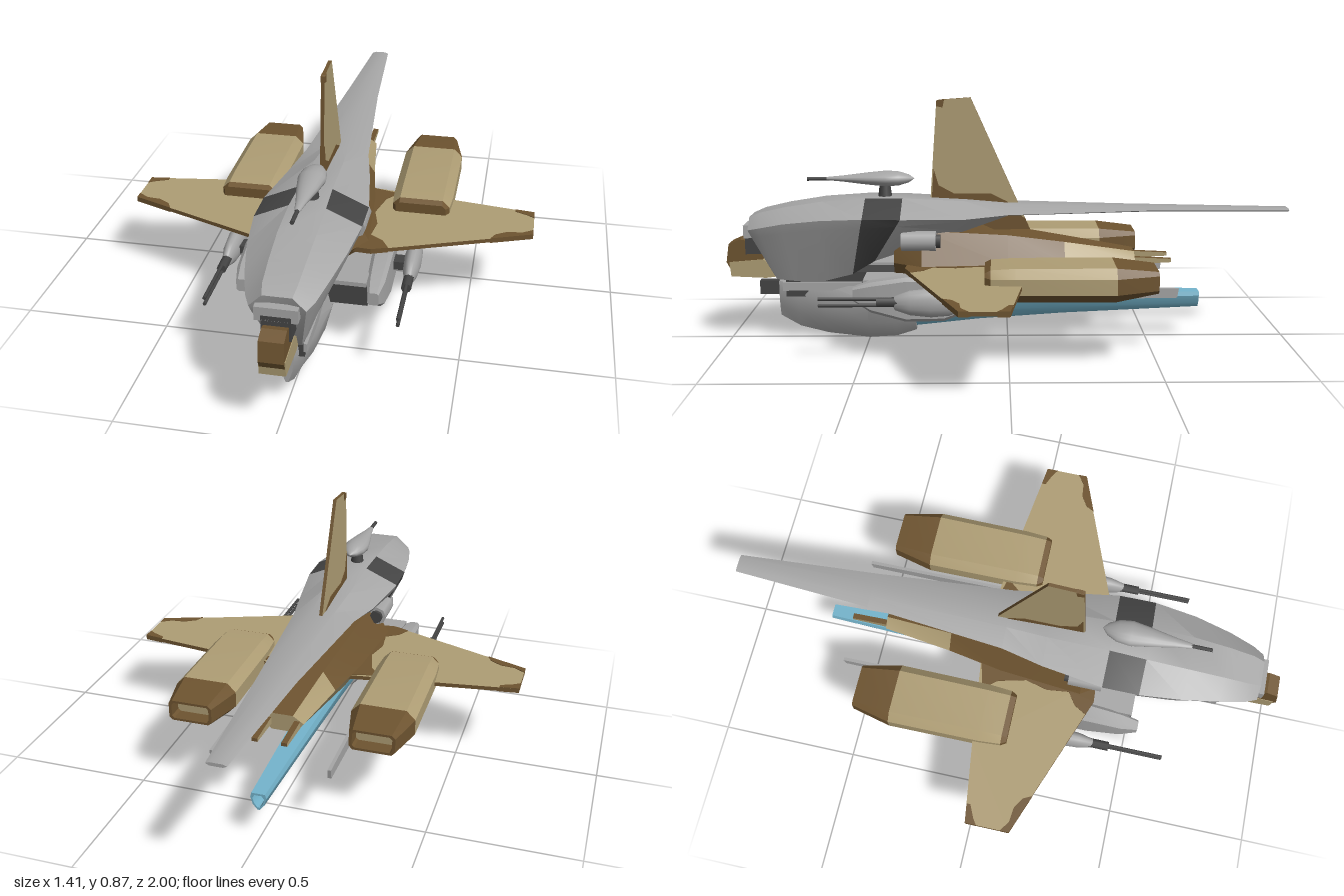
import * as THREE from 'three';
import { toCreasedNormals } from 'three/addons/utils/BufferGeometryUtils.js';

const mat = (name, color) => Object.assign(new THREE.MeshStandardMaterial({ color }), { name });

export function createModel() {
  const root = new THREE.Group();
  root.name = 'gunship';
  const gray = mat('hull gray', 0xa6a6a6), tan = mat('sand', 0xae9d74), brown = mat('camouflage brown', 0x6e5430);
  const dark = mat('dark metal', 0x444444), blue = mat('boom blue', 0x74b4cc);

  const add = (name, geo, material, x = 0, y = 0, z = 0) => {
    const m = new THREE.Mesh(geo, material);
    m.name = name;
    m.position.set(x, y, z);
    root.add(m);
    return m;
  };
  const box = (name, material, w, h, d, x, y, z) => add(name, new THREE.BoxGeometry(w, h, d), material, x, y, z);

  // Skin over mirrored half sections, front to back: [z, [x, y, dz], ...] from top to bottom.
  // pick(segment, column) chooses the material; segments -1 and n are the end caps.
  function loft(name, sections, mats, x = 0, pick = () => 0, crease = 0.45) {
    const rings = sections.map(([z, ...half]) => {
      const right = half.map(([px, py, dz = 0]) => [px, py, z + dz]);
      return [...right, ...right.map(([px, py, pz]) => [-px, py, pz]).reverse()];
    });
    const n = rings[0].length, last = rings.length - 1;
    const buckets = mats.map(() => []);
    const mid = (r) => [0, 1, 2].map((k) => r.reduce((s, p) => s + p[k], 0) / n);
    const front = mid(rings[0]), back = mid(rings[last]);
    for (let j = 0; j < n; j++) {
      const k = (j + 1) % n;
      for (let i = 0; i < last; i++) {
        const a = rings[i][j], b = rings[i][k], c = rings[i + 1][k], d = rings[i + 1][j];
        buckets[pick(i, j)].push(...a, ...b, ...c, ...a, ...c, ...d);
      }
      buckets[pick(-1, j)].push(...front, ...rings[0][k], ...rings[0][j]);
      buckets[pick(last, j)].push(...back, ...rings[last][j], ...rings[last][k]);
    }
    let geo = new THREE.BufferGeometry();
    geo.setAttribute('position', new THREE.Float32BufferAttribute(buckets.flat(), 3));
    geo = toCreasedNormals(geo, crease);
    let start = 0;
    buckets.forEach((b, i) => { geo.addGroup(start, b.length / 3, i); start += b.length / 3; });
    return add(name, geo, mats, x);
  }

  const extrude = (pts, depth) => new THREE.ExtrudeGeometry(
    new THREE.Shape(pts.map((p) => new THREE.Vector2(...p))), { depth, bevelEnabled: false }).translate(0, 0, -depth / 2);
  // Side profile in [z, y], given a width across x
  const profile = (name, pts, width, material, x = 0) => add(name, extrude(pts, width).rotateY(-Math.PI / 2), material, x);
  // Flat plan in [x, z], given a thickness in y
  const plan = (name, pts, thick, material, y) => add(name, extrude(pts, thick).rotateX(Math.PI / 2), material, 0, y);
  const rod = (name, r, z0, z1, x, y, material) =>
    add(name, new THREE.CylinderGeometry(r, r, z1 - z0, 8).rotateX(Math.PI / 2), material, x, y, (z0 + z1) / 2);
  // Flattened teardrop: points are [radius, z]
  const drop = (name, pts, sx, sy, material, x, y) => add(name,
    new THREE.LatheGeometry(pts.map((p) => new THREE.Vector2(...p)), 16).rotateX(Math.PI / 2).scale(sx, sy, 1), material, x, y, 0);

  // Upper hull running into the long tail: z, top half/y, shoulder half/y, bottom half/y, bottom shift
  const hull = [
    [0.91, 0.045, 0.455, 0.085, 0.415, 0.04, 0.24, -0.08],
    [0.87, 0.052, 0.472, 0.105, 0.425, 0.05, 0.23, -0.05],
    [0.78, 0.056, 0.492, 0.13, 0.445, 0.055, 0.225, -0.02],
    [0.65, 0.06, 0.512, 0.157, 0.462, 0.06, 0.225, 0],
    [0.5, 0.06, 0.522, 0.175, 0.47, 0.06, 0.25, 0.05],
    [0.37, 0.055, 0.522, 0.175, 0.468, 0.07, 0.3, 0.1],
    [0.15, 0.05, 0.51, 0.142, 0.462, 0.08, 0.41, 0],
    [0, 0.04, 0.497, 0.112, 0.472, 0.06, 0.46, 0],
    [-0.5, 0.025, 0.485, 0.066, 0.478, 0.04, 0.47, 0],
    [-1, 0.02, 0.476, 0.033, 0.471, 0.02, 0.465, 0],
  ].map(([z, a, ay, b, by, c, cy, dz]) => [z, [a, ay], [b, by], [b * 0.94, by - (by - cy) * 0.15, dz * 0.15], [c, cy, dz]]);
  loft('upperHull', hull, [gray, dark], 0, (i, j) => (i === 4 && j !== 7 ? 1 : 0));

  // Nose sensor block under the brow
  profile('noseBlock', [[0.86, 0.24], [0.98, 0.25], [1, 0.29], [0.99, 0.355], [0.95, 0.372], [0.88, 0.36]], 0.076, [brown, brown]);
  profile('noseChin', [[0.8, 0.24], [0.86, 0.232], [0.985, 0.238], [0.99, 0.29], [0.87, 0.3]], 0.08, tan);
  box('noseBrow', gray, 0.13, 0.045, 0.06, 0, 0.405, 0.9);
  box('noseMount', dark, 0.09, 0.08, 0.1, 0, 0.36, 0.88);
  box('bellyMachinery', dark, 0.1, 0.09, 0.46, 0, 0.21, 0.56);
  box('chinGun', dark, 0.03, 0.05, 0.09, 0, 0.19, 0.845);

  // Boat shaped keel
  const keelSection = (z, w, top, bottom) => {
    const h = top - bottom;
    return [z, [w * 0.85, top], [w, top - h * 0.25], [w * 0.72, bottom + h * 0.32], [w * 0.15, bottom]];
  };
  loft('keel', [
    keelSection(0.82, 0.025, 0.215, 0.085), keelSection(0.75, 0.045, 0.215, 0.045), keelSection(0.65, 0.065, 0.21, 0.02),
    keelSection(0.5, 0.077, 0.205, 0.002), keelSection(0.4, 0.076, 0.205, 0.008), keelSection(0.33, 0.07, 0.205, 0.03),
  ], [gray]);

  // Blue lower boom
  loft('lowerBoom', [
    keelSection(0.34, 0.063, 0.2, 0.045), keelSection(0.1, 0.055, 0.188, 0.07),
    keelSection(-0.2, 0.044, 0.18, 0.09), keelSection(-0.69, 0.027, 0.172, 0.112), keelSection(-0.69, 0.02, 0.165, 0.12),
    keelSection(-0.64, 0.018, 0.165, 0.12),
  ], [blue]);

  // Camouflaged mid fuselage, brown above and sand below
  loft('midFuselage', [
    [0.4, [0.07, 0.38], [0.1, 0.3], [0.06, 0.22]],
    [0.3, [0.1, 0.415], [0.165, 0.3], [0.08, 0.2]],
    [0, [0.085, 0.395], [0.14, 0.3], [0.08, 0.21]],
    [-0.2, [0.06, 0.365], [0.105, 0.3], [0.06, 0.23]],
    [-0.45, [0.035, 0.325], [0.072, 0.3], [0.04, 0.265]],
  ], [brown, tan], 0, (i, j) => (i === 4 || (j > 0 && j < 4 && i > 1) || (i === 3 && j !== 5) ? 1 : 0));

  // Tail fin with painted patches
  profile('tailFin', [[0.275, 0.5], [0.25, 0.85], [0.24, 0.862], [0.13, 0.87], [-0.08, 0.4], [0.05, 0.4]], 0.012, [tan, brown]);
  profile('finTopPatch', [[0.251, 0.84], [0.249, 0.86], [0.222, 0.864], [0.228, 0.835]], 0.015, brown);
  profile('finRootPatch', [[0.27, 0.5], [0.262, 0.62], [0.245, 0.56], [0.19, 0.53], [0.06, 0.53], [0, 0.5], [-0.03, 0.46],
    [-0.062, 0.44], [-0.08, 0.4], [0.05, 0.4]], 0.015, brown);

  // Dorsal gun: neck, teardrop body and barrel
  add('dorsalGunNeck', new THREE.CylinderGeometry(0.018, 0.026, 0.06, 10), dark, 0, 0.54, 0.435);
  drop('dorsalGunBody', [[0, 0.33], [0.5, 0.35], [0.88, 0.385], [1, 0.43], [0.75, 0.5], [0.4, 0.58], [0.2, 0.64], [0, 0.64]],
    0.046, 0.028, gray, 0, 0.584);
  rod('dorsalGunBarrel', 0.007, 0.62, 0.71, 0, 0.583, dark);

  for (const s of [1, -1]) {
    const side = s > 0 ? 'left' : 'right';
    const flip = (pts) => pts.map(([x, z]) => [s * x, z]);

    // Wing with brown edges and patches
    plan(side + 'Wing', flip([[0.1, 0.35], [0.18, 0.355], [0.707, 0.155], [0.707, 0], [0.42, -0.04], [0.1, -0.08]]), 0.014, [tan, brown], 0.292);
    plan(side + 'WingRootPatch', flip([[0.1, 0.35], [0.18, 0.355], [0.235, 0.334], [0.21, 0.29], [0.165, 0.26], [0.175, 0.18],
      [0.155, 0.1], [0.18, 0.0], [0.22, -0.05], [0.1, -0.08]]), 0.018, brown, 0.292);
    plan(side + 'WingTipPatch', flip([[0.565, 0.21], [0.707, 0.156], [0.707, 0.125], [0.67, 0.15], [0.62, 0.155], [0.58, 0.18]]), 0.018, brown, 0.292);
    plan(side + 'WingTrailingPatch', flip([[0.707, 0], [0.707, 0.04], [0.685, 0.025], [0.64, 0.005], [0.64, -0.009]]), 0.018, brown, 0.292);

    // Engine pod with a recessed exhaust
    const pod = (z, w, top, bottom, c) => [z, [w - c, top], [w, top - c], [w, bottom + c], [w - c, bottom]];
    loft(side + 'EnginePod', [
      pod(0.08, 0.088, 0.335, 0.26, 0.012), pod(0.06, 0.1, 0.345, 0.245, 0.025), pod(-0.02, 0.106, 0.35, 0.237, 0.03),
      pod(-0.35, 0.108, 0.35, 0.237, 0.03), pod(-0.49, 0.076, 0.335, 0.262, 0.012),
      pod(-0.49, 0.066, 0.327, 0.27, 0.008), pod(-0.44, 0.066, 0.327, 0.27, 0.008),
    ], [tan, brown], s * 0.312, (i, j) => (i < 1 || (i >= 3 && i < 6) || (j > 1 && j < 5 && i < 6) ? 1 : 0), 0.3);

    // Side nacelle, its strut and the long trailing blade
    loft(side + 'Nacelle', [
      pod(0.53, 0.018, 0.245, 0.2, 0.006), pod(0.47, 0.03, 0.265, 0.16, 0.012), pod(0.35, 0.034, 0.283, 0.128, 0.012),
      pod(0.22, 0.034, 0.28, 0.13, 0.012), pod(0.15, 0.026, 0.262, 0.155, 0.012), pod(0.12, 0.01, 0.24, 0.2, 0.004),
    ], [gray], s * 0.217, undefined, 0.7);
    box(side + 'Strut', dark, 0.15, 0.07, 0.16, s * 0.12, 0.21, 0.42);
    box(side + 'StrutPlate', gray, 0.12, 0.02, 0.2, s * 0.13, 0.25, 0.4);
    profile(side + 'TrailingBlade', [[0.2, 0.19], [-0.58, 0.2], [-0.585, 0.232], [0.2, 0.25]], 0.012, gray, s * 0.2);

    // Outboard gun pod with twin barrels
    box(side + 'GunMount', dark, 0.06, 0.03, 0.05, s * 0.265, 0.215, 0.28);
    drop(side + 'GunPod', [[0, 0.13], [0.55, 0.15], [0.9, 0.2], [1, 0.26], [0.85, 0.33], [0.5, 0.38], [0, 0.39]],
      0.03, 0.05, gray, s * 0.312, 0.215);
    rod(side + 'GunSleeve', 0.017, 0.28, 0.44, s * 0.312, 0.218, dark);
    for (const y of [0.207, 0.229]) rod(side + 'GunBarrel', 0.006, 0.3, 0.635, s * 0.312, y, dark);

    // Small shoulder engine and slim sand coloured tail spike
    rod(side + 'ShoulderEngine', 0.035, 0.25, 0.37, s * 0.13, 0.385, gray);
    rod(side + 'ShoulderNozzle', 0.024, 0.235, 0.26, s * 0.13, 0.385, dark);
    profile(side + 'TailSpike', [[-0.2, 0.27], [-0.58, 0.29], [-0.58, 0.302], [-0.2, 0.32]], 0.02, [tan, brown], s * 0.05);

    // Light cheek rails beside the machinery
    box(side + 'CheekRail', gray, 0.012, 0.03, 0.28, s * 0.055, 0.205, 0.66);
  }
  return root;
}
